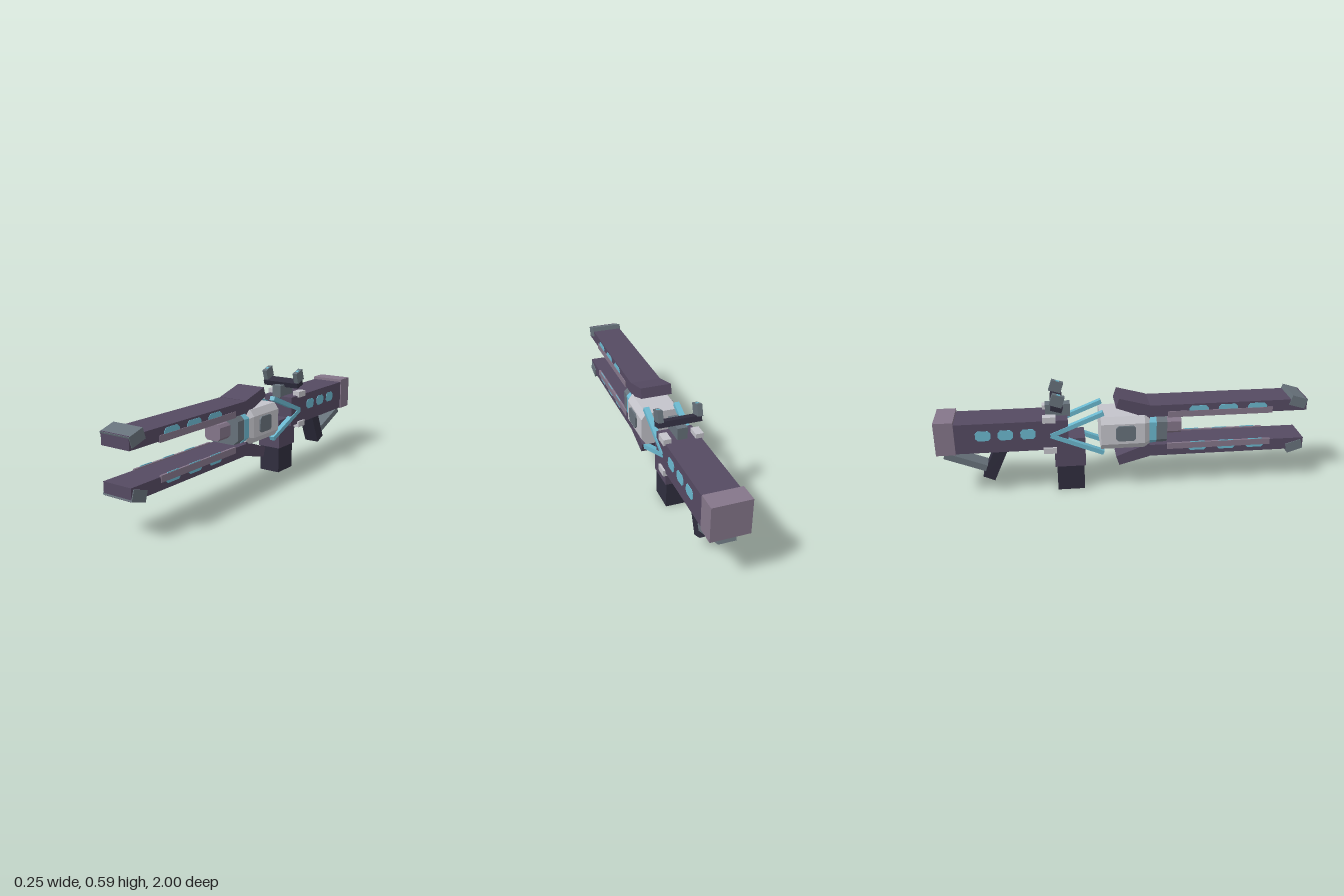
import * as THREE from 'three';

const paint = (name, color) => {
  const m = new THREE.MeshStandardMaterial({ color });
  m.name = name;
  return m;
};

export function createModel() {
  const purple = paint('dark purple', 0x554a62);
  const mauve = paint('mauve', 0x85768a);
  const grey = paint('slate grey', 0x67727b);
  const light = paint('light grey', 0xc4c4cb);
  const cyan = paint('cyan', 0x6bb8cf);
  const dark = paint('dark navy', 0x302e3f);

  const root = new THREE.Group();
  const MID = 0.3415; // height of the barrel axis

  const add = (name, geo, mat, x = 0, y = 0, z = 0, tilt = 0) => {
    const m = new THREE.Mesh(geo, mat);
    m.name = name;
    m.position.set(x, y, z);
    m.rotation.x = tilt;
    root.add(m);
    return m;
  };

  const box = (name, mat, size, pos, tilt = 0) =>
    add(name, new THREE.BoxGeometry(...size), mat, ...pos, tilt);

  // Chamfered rectangle extruded along z, optionally narrowed at its front
  const prism = (hw, hh, cx, cy, depth, frontScale = 1) => {
    const shape = new THREE.Shape([
      [hw, -hh + cy], [hw, hh - cy], [hw - cx, hh], [-hw + cx, hh],
      [-hw, hh - cy], [-hw, -hh + cy], [-hw + cx, -hh], [hw - cx, -hh],
    ].map(p => new THREE.Vector2(...p)));
    const geo = new THREE.ExtrudeGeometry(shape, { depth, bevelEnabled: false });
    const p = geo.attributes.position;
    for (let i = 0; i < p.count; i++) {
      if (p.getZ(i) > depth / 2) p.setXY(i, p.getX(i) * frontScale, p.getY(i) * frontScale);
    }
    geo.computeVertexNormals();
    return geo;
  };

  // Chamfered plate lying on the left or right side
  const sidePlate = (name, mat, side, hw, hh, c, depth, x, y, z) => {
    const geo = prism(hw, hh, c, c, depth).rotateY(side * Math.PI / 2);
    return add(name, geo, mat, side * x, y, z);
  };

  // Profile in (z, y) extruded across the width
  const profile = (points, hw) => {
    const shape = new THREE.Shape(points.map(p => new THREE.Vector2(...p)));
    return new THREE.ExtrudeGeometry(shape, { depth: 2 * hw, bevelEnabled: false })
      .translate(0, 0, -hw).rotateY(-Math.PI / 2);
  };

  // Upper and lower rails
  for (const s of [1, -1]) {
    const tag = s > 0 ? 'upper' : 'lower';
    const Y = y => MID + s * (y - MID);
    box(tag + 'Rail', purple, [0.17, 0.065, 0.872], [0, Y(0.4575), 0.562]);
    box(tag + 'RailCap', grey, [0.178, 0.056, 0.09], [0, Y(0.474), 0.949], s * 0.3);
    const flare = [[0.135, 0.492], [-0.03, 0.537], [-0.047, 0.484], [0.135, 0.415]]
      .map(([z, y]) => [z, Y(y)]);
    add(tag + 'RailFlare', profile(flare, 0.085), purple);
    for (const side of [1, -1]) {
      box(tag + 'RailStrip', mauve, [0.012, 0.034, 0.574], [side * 0.083, Y(0.436), 0.52]);
      for (const z of [0.722, 0.561, 0.4]) {
        sidePlate(tag + 'RailVent', cyan, side, 0.053, 0.026, 0.015, 0.004,
          0.083, s > 0 ? 0.454 : 0.242, z);
      }
    }
  }

  // Core housing, ring, collar and emitter
  add('coreHousing', prism(0.115, 0.093, 0.025, 0.035, 0.235), light, 0, 0.345, -0.13);
  add('coreHousingFront', prism(0.115, 0.093, 0.025, 0.035, 0.03, 0.86), light, 0, 0.345, 0.105);
  add('energyRing', prism(0.101, 0.08, 0.03, 0.028, 0.04), cyan, 0, 0.347, 0.13);
  add('frontCollar', prism(0.098, 0.078, 0.029, 0.027, 0.058), grey, 0, 0.347, 0.17);
  add('emitter', prism(0.05, 0.043, 0.015, 0.015, 0.09), mauve, 0, 0.347, 0.225);

  // Stock and butt
  box('stock', purple, [0.188, 0.167, 0.6], [0, 0.3485, -0.603]);
  box('butt', mauve, [0.2, 0.185, 0.102], [0, 0.355, -0.949]);

  // Side fittings
  for (const side of [1, -1]) {
    sidePlate('sidePort', grey, side, 0.053, 0.043, 0.013, 0.012, 0.112, 0.35, 0.003);
    for (const z of [-0.515, -0.633, -0.75]) {
      sidePlate('stockVent', cyan, side, 0.04, 0.028, 0.014, 0.004, 0.093, 0.363, z);
    }
    for (const s of [1, -1]) {
      const rise = 0.115, run = 0.28;
      box('strut', cyan, [0.03, 0.024, Math.hypot(rise, run)],
        [side * 0.084, 0.346 + s * rise / 2, -0.255], -s * Math.atan2(rise, run));
      box('clip', light, [0.042, 0.033, 0.07], [side * 0.085, s > 0 ? 0.44 : 0.262, -0.402]);
    }
  }

  // Sight
  box('sightStand', grey, [0.054, 0.07, 0.133], [0, 0.461, -0.354]);
  box('sightCrossbar', dark, [0.23, 0.03, 0.06], [0, 0.505, -0.36], 0.3);
  for (const side of [1, -1]) {
    const post = box('sightPost', grey, [0.027, 0.062, 0.067], [side * 0.103, 0.55, -0.357], 0.32);
    const mark = new THREE.Mesh(new THREE.BoxGeometry(0.016, 0.003, 0.018), cyan);
    mark.name = 'sightMark';
    mark.position.y = 0.0315;
    post.add(mark);
  }

  // Magazine, grip and brace
  box('magazineHousing', purple, [0.14, 0.166, 0.166], [0, 0.23, -0.295]);
  box('magazine', dark, [0.124, 0.15, 0.147], [0, 0.075, -0.2935]);
  box('grip', dark, [0.09, 0.21, 0.068], [0, 0.18, -0.698], 0.42);
  box('gripBrace', grey, [0.09, 0.036, 0.235], [0, 0.19, -0.858], 0.38);

  return root;
}
